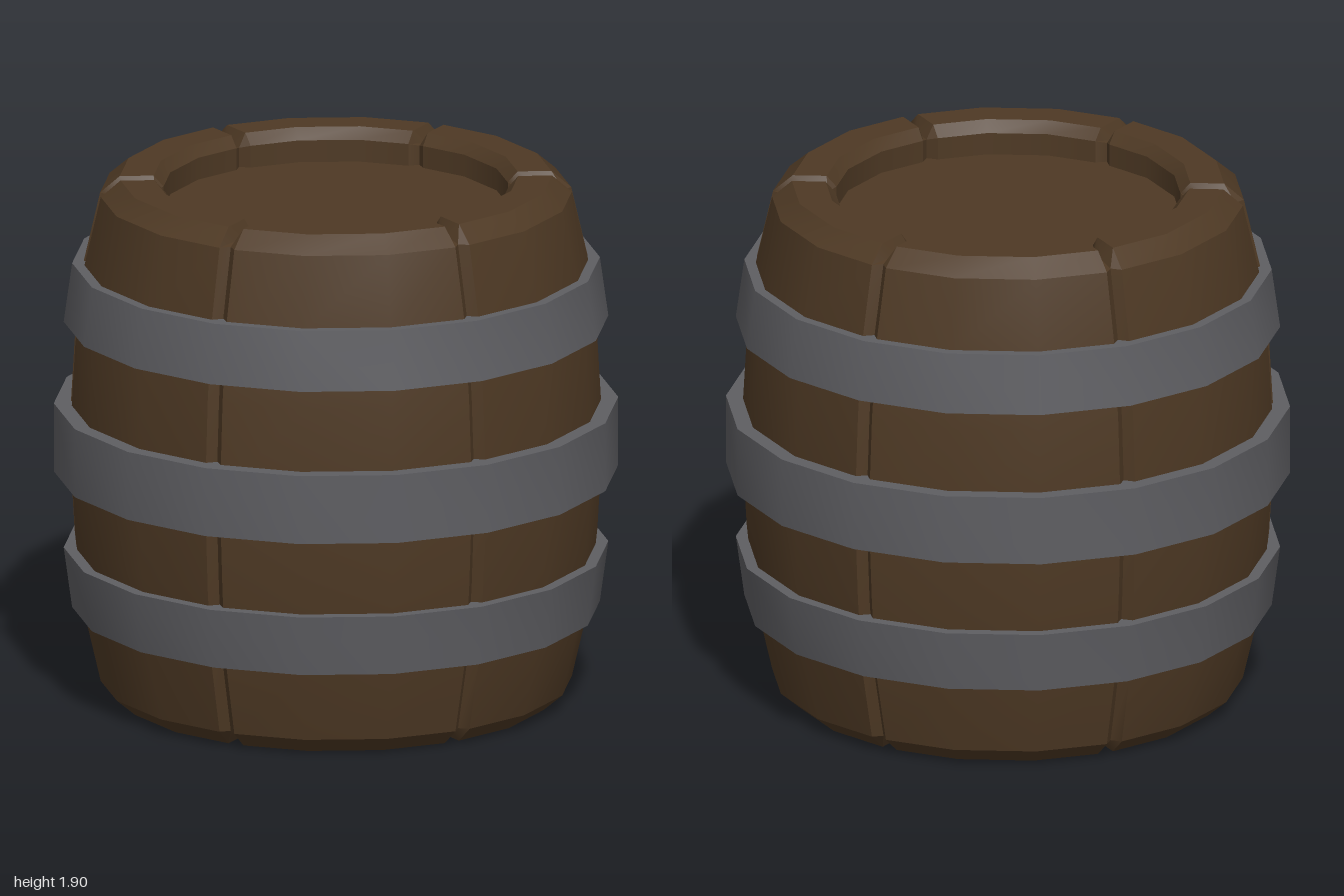
import * as THREE from 'three';
import { toCreasedNormals } from 'three/addons/utils/BufferGeometryUtils.js';

const STEP = Math.PI / 9; // 18 sides, three per stave
const HEIGHT = 1.9;
const GROOVE = 0.03; // half width of the V between staves

// Stave cross-section [radius, y]: up the outside, over the rim, down the inside
const lower = [[0.77, 0], [0.84, 0.06], [0.9, 0.32], [0.93, 0.6]];
const profile = [
  ...lower,
  [0.95, HEIGHT / 2],
  ...lower.map(([r, y]) => [r, HEIGHT - y]).reverse(),
  [0.65, HEIGHT], [0.615, HEIGHT - 0.04], [0.615, 0.04], [0.65, 0],
];

// Shrunken cross-section where two staves meet at the bottom of the groove
const seam = profile.map(([r, y]) => [
  r > 0.7 ? r - 0.035 : r + 0.025,
  THREE.MathUtils.clamp(y, 0.05, HEIGHT - 0.05),
]);

const onRing = ([r, y], k) => new THREE.Vector3(r * Math.sin(k * STEP), y, r * Math.cos(k * STEP));

// Full cross-section moved along the ring's flat side, away from the seam
const besideSeam = (from, towards) => profile.map((p) => {
  const t = GROOVE / (2 * p[0] * Math.sin(STEP / 2));
  return onRing(p, from).lerp(onRing(p, towards), t);
});

function staveGeometry() {
  const sections = [
    seam.map((p) => onRing(p, 0)),
    besideSeam(0, 1),
    profile.map((p) => onRing(p, 1)),
    profile.map((p) => onRing(p, 2)),
    besideSeam(3, 2),
    seam.map((p) => onRing(p, 3)),
  ];
  const n = profile.length;
  const index = [];
  for (let j = 0; j < sections.length - 1; j++) {
    for (let i = 0; i < n; i++) {
      const a = j * n + i, d = j * n + (i + 1) % n;
      index.push(a, a + n, d + n, a, d + n, d);
    }
  }
  const geometry = new THREE.BufferGeometry().setFromPoints(sections.flat());
  geometry.setIndex(index);
  return toCreasedNormals(geometry, 0.5);
}

// Metal band with its own outer radius at the bottom and top edge
function bandGeometry(y0, y1, r0, r1) {
  const points = [[0.85, y0], [r0, y0], [r1, y1], [0.85, y1], [0.85, y0]];
  const lathe = new THREE.LatheGeometry(points.map(([r, y]) => new THREE.Vector2(r, y)), 18);
  return toCreasedNormals(lathe, 0.5);
}

export function createModel() {
  const wood = new THREE.MeshStandardMaterial({ name: 'dark wood', color: 0x4e3924 });
  const metal = new THREE.MeshStandardMaterial({ name: 'grey metal', color: 0x5e5e62 });
  const barrel = new THREE.Group();
  barrel.name = 'barrel';

  const add = (name, geometry, material) => {
    const mesh = new THREE.Mesh(geometry, material);
    mesh.name = name;
    barrel.add(mesh);
    return mesh;
  };

  // Six staves around the barrel
  const stave = staveGeometry();
  for (let i = 0; i < 6; i++) add('stave', stave, wood).rotation.y = i * 3 * STEP;

  // Recessed lid and base
  const disc = new THREE.CylinderGeometry(0.66, 0.66, 0.06, 18);
  add('lid', disc, wood).position.y = HEIGHT - 0.15;
  add('base', disc, wood).position.y = 0.15;

  // Three bands
  add('lowerBand', bandGeometry(0.325, 0.545, 0.935, 0.965), metal);
  add('middleBand', bandGeometry(0.825, 1.075, 1, 1), metal);
  add('upperBand', bandGeometry(1.375, 1.59, 0.965, 0.935), metal);

  return barrel;
}
